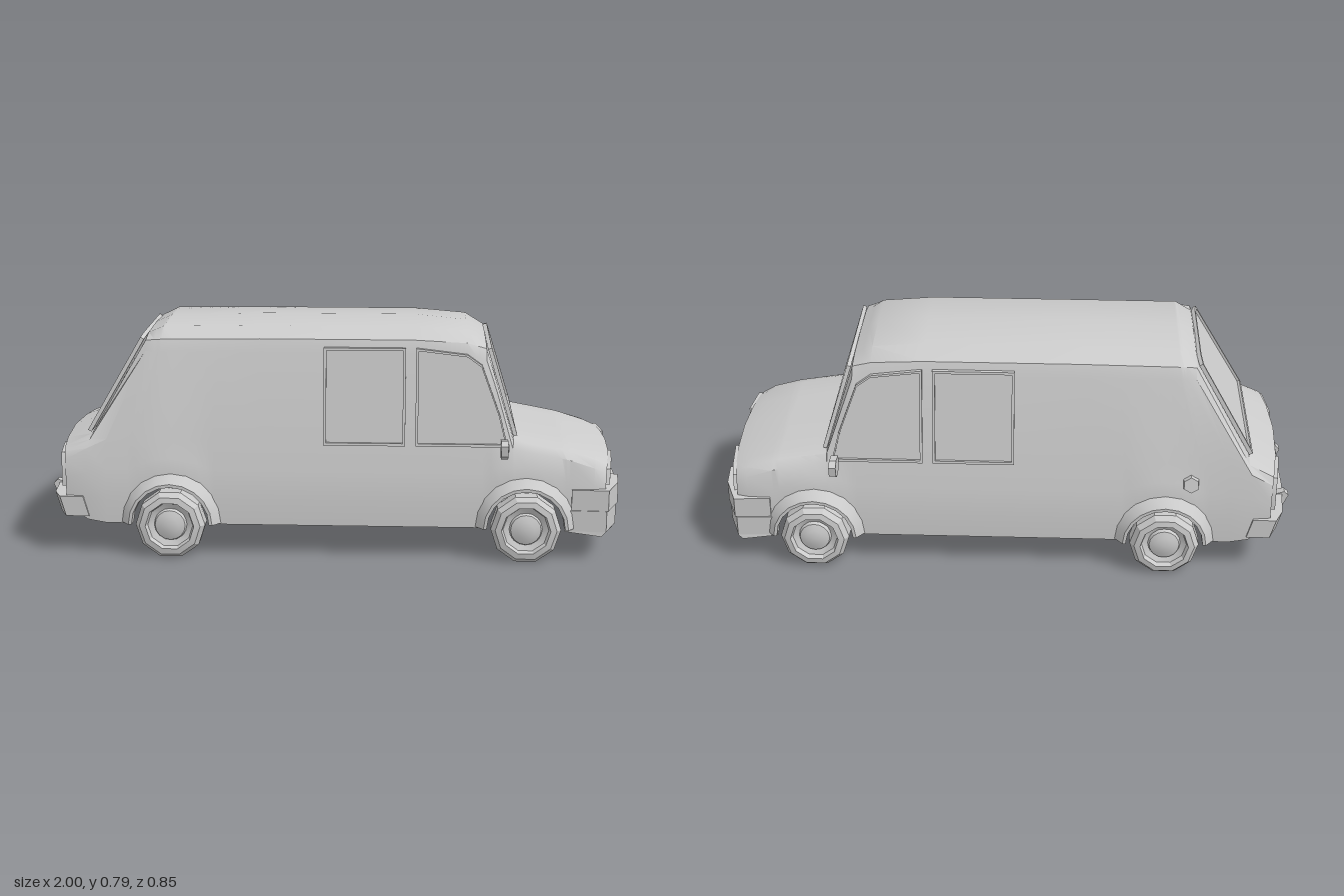
import * as THREE from 'three';
import { toCreasedNormals } from 'three/addons/utils/BufferGeometryUtils.js';

const material = new THREE.MeshStandardMaterial({ color: 0xcccccc, side: THREE.DoubleSide });
const AXLES = [-0.555, 0.665], AXLE_Y = 0.114, ARCH_R = 0.15;

function add(parent, name, geometry, crease = 0.5) {
  const mesh = new THREE.Mesh(toCreasedNormals(geometry, crease), material);
  mesh.name = name;
  parent.add(mesh);
  return mesh;
}

// Moves every vertex of a geometry by a rule
function warp(geometry, rule) {
  const p = geometry.attributes.position, v = new THREE.Vector3();
  for (let i = 0; i < p.count; i++) {
    rule(v.fromBufferAttribute(p, i));
    p.setXYZ(i, v.x, v.y, v.z);
  }
  return geometry;
}

// Rounds the nose and tail in plan
function bend(v) {
  if (Math.abs(v.x) > 0.84) v.x -= Math.sign(v.x) * 0.25 * v.z * v.z * Math.min(1, (Math.abs(v.x) - 0.84) / 0.1);
}

const toShape = pts => new THREE.Shape(pts.map(p => new THREE.Vector2(...p)));
const extrude = (shape, depth) => new THREE.ExtrudeGeometry(shape, { depth, bevelEnabled: false });

// A thin raised rim with a pane just below it; place() moves both geometries into position
function pane(parent, name, pts, rim, place) {
  const group = new THREE.Group();
  group.name = name;
  const cx = pts.reduce((s, p) => s + p[0], 0) / pts.length;
  const cy = pts.reduce((s, p) => s + p[1], 0) / pts.length;
  const w = Math.max(...pts.map(p => Math.abs(p[0] - cx))), h = Math.max(...pts.map(p => Math.abs(p[1] - cy)));
  const inner = pts.map(([x, y]) => [cx + (x - cx) * (1 - rim / w), cy + (y - cy) * (1 - rim / h)]);
  const frame = toShape(pts);
  frame.holes.push(toShape(inner));
  add(group, name + 'Frame', place(extrude(frame, 0.014)));
  add(group, name + 'Glass', place(extrude(toShape(inner), 0.005)));
  parent.add(group);
}

// Body sections: lower x, upper x, half width, then belt y,z, side top y,z, shoulder y,z, inner y,z, centre y
const SECTIONS = [
  [-0.95, -0.95, 0.345, 0.33, 0.335, 0.355, 0.32, 0.365, 0.28, 0.37, 0.18, 0.375],
  [-0.85, -0.84, 0.355, 0.37, 0.335, 0.395, 0.31, 0.405, 0.26, 0.41, 0.16, 0.415],
  [-0.78, -0.645, 0.355, 0.40, 0.325, 0.70, 0.27, 0.735, 0.25, 0.75, 0.18, 0.755],
  [-0.65, -0.59, 0.355, 0.40, 0.322, 0.70, 0.275, 0.74, 0.258, 0.775, 0.2, 0.78],
  [-0.25, -0.25, 0.355, 0.40, 0.322, 0.70, 0.275, 0.745, 0.26, 0.78, 0.19, 0.79],
  [0.28, 0.28, 0.355, 0.40, 0.322, 0.70, 0.275, 0.745, 0.26, 0.78, 0.19, 0.79],
  [0.48, 0.46, 0.355, 0.40, 0.322, 0.70, 0.272, 0.735, 0.255, 0.765, 0.19, 0.772],
  [0.55, 0.525, 0.355, 0.40, 0.322, 0.68, 0.27, 0.715, 0.245, 0.728, 0.17, 0.732],
  [0.62, 0.62, 0.355, 0.38, 0.322, 0.405, 0.305, 0.415, 0.28, 0.42, 0.17, 0.422],
  [0.80, 0.80, 0.355, 0.35, 0.332, 0.375, 0.305, 0.385, 0.26, 0.39, 0.15, 0.392],
  [0.92, 0.92, 0.35, 0.32, 0.335, 0.345, 0.31, 0.352, 0.26, 0.358, 0.15, 0.36],
  [0.965, 0.965, 0.34, 0.30, 0.325, 0.325, 0.30, 0.335, 0.25, 0.34, 0.15, 0.342],
];

function sectionAt(x) {
  let i = 0;
  while (i < SECTIONS.length - 2 && x > SECTIONS[i + 1][0]) i++;
  const a = SECTIONS[i], b = SECTIONS[i + 1], t = (x - a[0]) / (b[0] - a[0]);
  return a.map((v, k) => v + (b[k] - v) * t);
}

// Half section from sill to roof centre, with the sill lifted over the wheels
function halfSection(x) {
  const [xl, xu, w, by, bz, y4, z4, y5, z5, y6, z6, y7] = sectionAt(x);
  let sill = 0.11 + Math.max(0, -0.83 - x) * 0.6;
  for (const ax of AXLES) {
    const d = Math.abs(x - ax);
    if (d < ARCH_R) sill = Math.max(sill, AXLE_Y + Math.sqrt(ARCH_R ** 2 - d * d));
  }
  const low = Math.max(0.2, sill + 0.012);
  return [[xl, sill, w], [xl, low, w], [xl, (low + by) / 2, (w + bz) / 2 + 0.005], [xl, by, bz],
    [xu, y4, z4], [xu, y5, z5], [xu, y6, z6], [xu, y7, 0]];
}

function bodyGeometry() {
  const xs = SECTIONS.map(s => s[0]);
  for (const ax of AXLES) for (let i = 0; i <= 10; i++) xs.push(ax - ARCH_R * Math.cos(i * Math.PI / 10));
  xs.sort((a, b) => a - b);
  const halves = xs.map(halfSection);
  // Flat sections on the centre line close the nose and tail
  const flat = h => h.map(([x, y]) => [x, y, 0]);
  halves.unshift(flat(halves[0]));
  halves.push(flat(halves[halves.length - 1]));
  const pos = [], index = [], n = 15;
  for (const h of halves) {
    const loop = [...h, ...h.slice(0, 7).reverse().map(([x, y, z]) => [x, y, -z])];
    loop.forEach(p => pos.push(...p));
  }
  for (let i = 0; i < halves.length - 1; i++) for (let j = 0; j < n - 1; j++) {
    const a = i * n + j, b = a + n;
    index.push(a, b, a + 1, b, b + 1, a + 1);
  }
  const g = new THREE.BufferGeometry();
  g.setAttribute('position', new THREE.Float32BufferAttribute(pos, 3));
  g.setIndex(index);
  return warp(g, bend);
}

const lathe = (profile, sides, start, sweep) => new THREE.LatheGeometry(
  profile.map(p => new THREE.Vector2(...p)), sides, start, sweep).rotateX(Math.PI / 2);

// Horizontal slab from half a plan outline (x, z), mirrored across the centre line
function slab(half, y0, y1) {
  const outline = [...half, ...half.slice().reverse().map(([x, z]) => [x, -z])];
  return extrude(toShape(outline), y1 - y0).rotateX(-Math.PI / 2).translate(0, y0, 0);
}

export function createModel() {
  const car = new THREE.Group();
  car.name = 'car';
  add(car, 'body', bodyGeometry(), 0.6);

  // Windscreen and rear window, lying on the sloping ends of the cabin
  for (const [name, x0, y0, x1, y1, zb, zt] of [
    ['windscreen', 0.62, 0.42, 0.527, 0.722, 0.295, 0.245], ['rearWindow', -0.84, 0.413, -0.648, 0.745, 0.27, 0.235]]) {
    const up = new THREE.Vector3(x1 - x0, y1 - y0, 0), len = up.length();
    up.normalize();
    const across = new THREE.Vector3(0, 0, -Math.sign(x0));
    const m = new THREE.Matrix4().makeBasis(across, up, across.clone().cross(up)).setPosition(x0, y0, 0);
    pane(car, name, [[-zb, 0], [zb, 0], [zt, len * 0.97], [zt * 0.75, len], [-zt * 0.75, len], [-zt, len * 0.97]], 0.014,
      g => g.applyMatrix4(m));
  }

  for (const side of [1, -1]) {
    const half = new THREE.Group();
    half.name = side > 0 ? 'nearSide' : 'farSide';
    half.scale.z = side;
    car.add(half);

    // Side windows follow the inward lean of the cabin
    const lean = g => warp(g, v => { v.z += 0.319 - (v.y - 0.4) * 0.157; });
    pane(half, 'sideWindow', [[-0.03, 0.39], [0.25, 0.39], [0.25, 0.72], [-0.03, 0.72]], 0.009, lean);
    pane(half, 'doorWindow', [[0.285, 0.39], [0.6, 0.39], [0.575, 0.49], [0.51, 0.665], [0.46, 0.70], [0.285, 0.72]], 0.009, lean);

    // Wheels and flared arches
    AXLES.forEach((x, i) => {
      const wheel = add(half, i ? 'frontWheel' : 'rearWheel', lathe([[0.07, 0.36], [0.07, 0.315], [0.115, 0.315], [0.12, 0.325], [0.12, 0.38],
        [0.105, 0.4], [0.084, 0.404], [0.078, 0.385], [0.057, 0.375]], 10, Math.PI / 10, Math.PI * 2));
      wheel.position.set(x, AXLE_Y, 0);
      const hub = add(half, 'hubcap', lathe([[0.058, 0.372], [0.052, 0.388], [0.03, 0.396], [0, 0.399]], 16, 0, Math.PI * 2), 0.8);
      hub.position.set(x, AXLE_Y, 0);
      const arch = add(half, 'wheelArch', lathe([[0.132, 0.35], [0.134, 0.388], [0.145, 0.388], [0.18, 0.345]], 10, Math.PI / 2, Math.PI), 0.6);
      arch.position.set(x, AXLE_Y, 0);
    });

    // Headlamp and tail lamp wrap round the corners
    pane(half, 'headlamp', [[-0.325, 0.262], [-0.14, 0.262], [-0.14, 0.336], [-0.27, 0.334], [-0.305, 0.312]], 0.01,
      g => warp(g.rotateY(Math.PI / 2).translate(0.963, 0, 0), bend));
    pane(half, 'tailLamp', [[0.165, 0.235], [0.335, 0.235], [0.335, 0.31], [0.315, 0.35], [0.165, 0.35]], 0.01,
      g => warp(g.rotateY(-Math.PI / 2).translate(-0.949, 0, 0), bend));

    // Door mirror on a short stalk
    const mirror = extrude(toShape([[-0.34, 0.39], [-0.348, 0.422], [-0.4, 0.43], [-0.425, 0.415], [-0.42, 0.38], [-0.395, 0.365], [-0.36, 0.37]]), 0.024);
    add(half, 'mirror', mirror.rotateY(Math.PI / 2).translate(0.574, 0, 0));
    add(half, 'mirrorStalk', new THREE.BoxGeometry(0.025, 0.022, 0.06).rotateX(-0.4).translate(0.592, 0.385, 0.33));

    add(half, 'overrider', extrude(toShape([[-1, 0.2], [-0.985, 0.215], [-0.955, 0.205], [-0.945, 0.13], [-0.965, 0.12]]), 0.03).translate(0, 0, 0.15));
  }

  // Front bumper with a top notch below the nose and a lower intake
  const front = new THREE.Group();
  front.name = 'frontBumper';
  const plan = [[0.82, 0.33], [0.82, 0.36], [0.945, 0.366], [0.988, 0.25], [0.997, 0.145]];
  const solid = [...plan, [1, 0.1]], notch = [...plan, [0.965, 0.135]];
  const back = [[0.88, 0.3]];
  add(front, 'bumperTop', slab([...back, ...notch], 0.215, 0.25));
  add(front, 'bumperBar', slab([...back, ...solid], 0.178, 0.215));
  const inset = g => warp(g, v => { v.x -= 0.006; v.z *= 1.01; });
  add(front, 'bumperLip', inset(slab([...back, ...solid], 0.16, 0.178)));
  add(front, 'intakeBand', inset(slab([...back, ...notch], 0.105, 0.16)));
  add(front, 'chinLip', warp(inset(slab([...back, ...solid], 0.085, 0.105)), v => {
    if (v.y < 0.09) { v.x -= 0.015; v.y += Math.max(0, 0.95 - v.x) * 0.12; }
  }));
  car.add(front);

  // Rear bumper, number plate panel and fuel cap
  const rearPlan = [[-0.9, 0.3], [-0.86, 0.345], [-0.86, 0.362], [-0.94, 0.362], [-0.967, 0.3], [-0.982, 0.12]];
  add(car, 'rearBumper', warp(slab(rearPlan, 0.135, 0.205), v => { if (v.y < 0.15) v.x += 0.02; }));
  add(car, 'platePanel', new THREE.BoxGeometry(0.02, 0.06, 0.22).translate(-0.95, 0.275, 0));
  const cap = add(car, 'fuelCap', new THREE.CylinderGeometry(0.028, 0.032, 0.03, 6).rotateX(-Math.PI / 2 + 0.2));
  cap.position.set(-0.64, 0.335, -0.345);
  return car;
}
